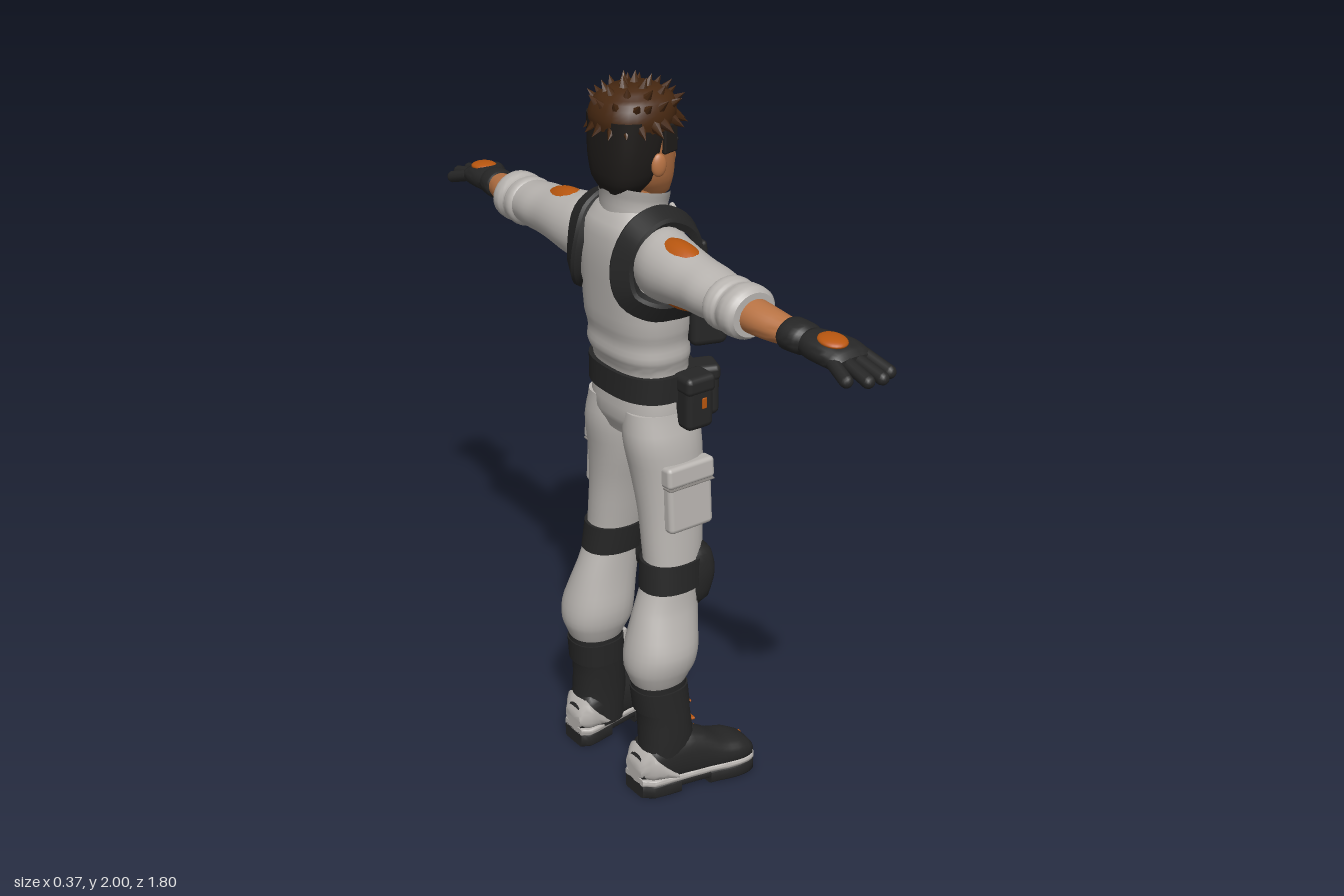
import * as THREE from 'three';
import { toCreasedNormals } from 'three/addons/utils/BufferGeometryUtils.js';
import { RoundedBoxGeometry } from 'three/addons/geometries/RoundedBoxGeometry.js';

const paint = (name, color, extra = {}) => Object.assign(new THREE.MeshStandardMaterial({ color, ...extra }), { name });

// Smooth value between b and c (Catmull-Rom)
const blend = (a, b, c, d, f) =>
  0.5 * (2 * b + (c - a) * f + (2 * a - 5 * b + 4 * c - d) * f * f + (3 * b - a - 3 * c + d) * f * f * f);

function creased(pos, idx, angle) {
  const g = new THREE.BufferGeometry();
  g.setAttribute('position', new THREE.Float32BufferAttribute(pos, 3));
  g.setIndex(idx);
  return toCreasedNormals(g, angle);
}

// Skin over cross-sections [t, a, b, ra, rb]. Axis y: a=x b=z, axis x: a=z b=y, axis z: a=y b=x.
function loft(rows, { axis = 'y', p = 2, n = 28, sub = 3, cap = true } = {}) {
  const src = [...rows].sort((m, k) => m[0] - k[0]), last = src.length - 1, R = [];
  for (let i = 0; i < last; i++) {
    const r0 = src[Math.max(i - 1, 0)], r1 = src[i], r2 = src[i + 1], r3 = src[Math.min(i + 2, last)];
    for (let s = 0; s < sub; s++) {
      const f = s / sub;
      R.push(r1.map((v, k) => (k === 0 ? v + (r2[0] - v) * f : blend(r0[k], v, r2[k], r3[k], f))));
    }
  }
  R.push(src[last]);
  const pos = [], idx = [], place = { y: (t, a, b) => [a, t, b], x: (t, a, b) => [t, b, a], z: (t, a, b) => [b, a, t] }[axis];
  const bend = v => Math.sign(v) * Math.abs(v) ** (2 / p);
  for (const [t, a, b, ra, rb] of R) for (let j = 0; j < n; j++) {
    const q = j / n * Math.PI * 2;
    pos.push(...place(t, a + ra * bend(Math.cos(q)), b + rb * bend(Math.sin(q))));
  }
  for (let i = 0; i < R.length - 1; i++) for (let j = 0; j < n; j++) {
    const a = i * n + j, b = i * n + (j + 1) % n;
    idx.push(a, a + n, b, b, a + n, b + n);
  }
  if (cap) [0, R.length - 1].forEach((i, top) => {
    const c = pos.length / 3;
    pos.push(...place(R[i][0], R[i][1], R[i][2]));
    for (let j = 0; j < n; j++) {
      const a = i * n + j, b = i * n + (j + 1) % n;
      idx.push(...(top ? [c, b, a] : [c, a, b]));
    }
  });
  return creased(pos, idx, 0.8);
}

// Flat band with thickness along a path, facing away from a centre point
function ribbon(points, width, thick, centre) {
  const curve = new THREE.CatmullRomCurve3(points.map(q => new THREE.Vector3(...q)));
  const N = 44, pos = [], idx = [];
  for (let i = 0; i <= N; i++) {
    const q = curve.getPoint(i / N), T = curve.getTangent(i / N);
    const out = q.clone().sub(centre);
    out.addScaledVector(T, -out.dot(T)).normalize();
    const side = T.clone().cross(out);
    for (const [u, v] of [[-1, -1], [1, -1], [1, 0.4], [0.8, 1], [-0.8, 1], [-1, 0.4]])
      pos.push(...q.clone().addScaledVector(side, u * width / 2).addScaledVector(out, v * thick / 2).toArray());
    if (i) for (let j = 0; j < 6; j++) {
      const a = (i - 1) * 6 + j, b = (i - 1) * 6 + (j + 1) % 6;
      idx.push(a, a + 6, b, b, a + 6, b + 6);
    }
  }
  return creased(pos, idx, 0.7);
}

function mirrored(geo) {
  const g = geo.index ? geo.toNonIndexed() : geo, out = new THREE.BufferGeometry();
  for (const key of ['position', 'normal']) {
    const s = g.attributes[key], a = [];
    for (let i = 0; i < s.count; i += 3) for (const k of [i, i + 2, i + 1]) a.push(-s.getX(k), s.getY(k), s.getZ(k));
    out.setAttribute(key, new THREE.Float32BufferAttribute(a, 3));
  }
  return out;
}

const turn = (g, [x, y, z], [rx, ry, rz] = [0, 0, 0]) => g.rotateX(rx).rotateZ(rz).rotateY(ry).translate(x, y, z);
const box = (w, h, d, at, rot, r = 0.015) => turn(new RoundedBoxGeometry(w, h, d, 2, Math.min(r, w / 2.1, h / 2.1, d / 2.1)), at, rot);
const ball = (w, h, d, at, rot) => turn(new THREE.SphereGeometry(1, 24, 16).scale(w, h, d), at, rot);
const aim = (g, dir) => g.applyQuaternion(new THREE.Quaternion().setFromUnitVectors(new THREE.Vector3(0, 1, 0), dir));
function rod(from, to, r) {
  const a = new THREE.Vector3(...from), d = new THREE.Vector3(...to).sub(a);
  return aim(new THREE.CapsuleGeometry(r, d.length(), 5, 10), d.clone().normalize()).translate(...a.addScaledVector(d, 0.5).toArray());
}

export function createModel() {
  const suit = paint('suit grey', 0xb8b4b0, { side: THREE.DoubleSide }), seam = paint('seam grey', 0x85817d);
  const dark = paint('gear black', 0x262626), orange = paint('patch orange', 0xb8560f), skin = paint('skin', 0xb87344);
  const brown = paint('hair brown', 0x472811), black = paint('dark hair', 0x1f1c1a);
  const body = new THREE.Group();
  const put = (name, mat, geo) => { const m = new THREE.Mesh(geo, mat); m.name = name; body.add(m); };
  const pair = (name, mat, geo) => { put(name + 'Right', mat, mirrored(geo)); put(name + 'Left', mat, geo); };

  // Torso
  put('jacket', suit, loft([[1.05, 0, -.03, .09, .085], [1.1, 0, -.03, .15, .105], [1.2, 0, -.03, .142, .1], [1.25, 0, -.035, .142, .1],
    [1.28, 0, -.04, .153, .108], [1.32, 0, -.042, .15, .104], [1.36, 0, -.044, .158, .11], [1.45, 0, -.05, .162, .11],
    [1.55, 0, -.055, .165, .11], [1.62, 0, -.06, .14, .098], [1.66, 0, -.06, .1, .075], [1.685, 0, -.055, .07, .06]], { p: 2.5, n: 36 }));
  put('zipper', seam, box(.008, .22, .008, [0, 1.47, .062], [-.05, 0, 0], .002));
  const tri = new THREE.Shape([[-.045, .05], [0, -.05], [.045, .05]].map(q => new THREE.Vector2(...q)));
  put('undershirt', dark, turn(new THREE.ExtrudeGeometry(tri, { depth: .009, bevelEnabled: false }), [0, 1.605, .04], [-.42, 0, 0]));
  put('neck', skin, loft([[1.6, 0, -.045, .05, .05], [1.72, 0, -.045, .045, .05]], { sub: 1 }));
  const collar = loft([[1.63, 0, -.055, .098, .08], [1.68, 0, -.055, .092, .082], [1.715, 0, -.055, .1, .09]], { cap: false, n: 40 });
  const cp = collar.attributes.position;
  for (let i = 0; i < cp.count; i++) {
    const x = cp.getX(i), z = cp.getZ(i), notch = z > -.02 ? .06 * Math.max(0, 1 - Math.abs(x) / .07) : 0;
    cp.setY(i, cp.getY(i) - (z + .05) * .2 - notch);
  }
  put('collar', suit, toCreasedNormals(collar, 0.8));
  pair('lapel', suit, box(.035, .11, .014, [.05, 1.61, .045], [-.38, .2, -.4], .006));
  put('chestPatch', suit, box(.055, .06, .008, [.065, 1.515, .062], [-.05, .1, 0], .003));
  put('chestPatchMark', orange, box(.045, .02, .008, [.067, 1.53, .064], [-.05, .1, 0], .003));

  // Harness
  pair('harnessStrap', dark, ribbon([[.115, 1.43, .058], [.12, 1.54, .058], [.12, 1.615, .035], [.12, 1.655, -.02], [.118, 1.662, -.07],
    [.115, 1.63, -.13], [.105, 1.55, -.162], [.12, 1.47, -.155], [.155, 1.435, -.105], [.168, 1.43, -.04], [.15, 1.42, .03]],
    .07, .026, new THREE.Vector3(.06, 1.5, -.05)));
  pair('outerChestPouch', dark, box(.085, .16, .1, [.138, 1.385, .07], [0, .3, 0], .02));
  pair('outerChestFlap', dark, box(.092, .05, .107, [.138, 1.445, .07], [0, .3, 0]));
  pair('innerChestPouch', dark, box(.05, .14, .07, [.075, 1.39, .085], [0, .1, 0]));
  pair('innerChestFlap', dark, box(.055, .045, .077, [.075, 1.44, .085], [0, .1, 0], .012));
  pair('shoulderPad', dark, box(.06, .1, .025, [.118, 1.53, .064], [-.1, .1, 0], .01));
  put('chestStrap', dark, box(.13, .045, .016, [0, 1.385, .068], [0, 0, 0], .005));
  put('chestBuckle', seam, box(.045, .02, .008, [0, 1.385, .076], [0, 0, 0], .003));

  // Belt and pouches
  put('belt', dark, loft([[1.165, 0, -.03, .156, .114], [1.235, 0, -.03, .156, .114]], { p: 2.5, n: 36, sub: 1 }));
  put('beltBuckle', dark, box(.075, .055, .02, [0, 1.2, .086], [0, 0, 0], .008));
  pair('hipPouch', dark, box(.07, .145, .085, [.167, 1.162, .015], [0, 0, 0], .018));
  pair('hipPouchFlap', dark, box(.077, .05, .092, [.167, 1.215, .015], [0, 0, 0]));
  pair('frontBeltPouch', dark, box(.075, .14, .07, [.115, 1.162, .085], [0, .35, 0], .018));
  pair('frontBeltFlap', dark, box(.08, .045, .075, [.115, 1.212, .085], [0, .35, 0]));
  pair('pouchTab', orange, box(.006, .03, .014, [.202, 1.165, .022], [0, 0, 0], .002));

  // Arms
  pair('sleeve', suit, loft([[.08, -.065, 1.55, .07, .08], [.15, -.072, 1.555, .085, .092], [.2, -.08, 1.555, .085, .086], [.26, -.085, 1.557, .078, .076],
    [.32, -.085, 1.555, .073, .068], [.37, -.085, 1.553, .074, .064], [.43, -.085, 1.55, .067, .058]], { axis: 'x' }));
  pair('rolledCuff', suit, loft([[.41, -.085, 1.548, .062, .054], [.425, -.085, 1.547, .074, .066], [.45, -.084, 1.546, .074, .066], [.463, -.083, 1.546, .068, .06],
    [.478, -.082, 1.545, .075, .067], [.51, -.081, 1.545, .073, .065], [.522, -.08, 1.544, .062, .055]], { axis: 'x' }));
  pair('shoulderPatch', orange, ball(.12, .085, .06, [.24, 1.557, -.088], [0, 0, -.1]));
  pair('forearm', skin, loft([[.5, -.078, 1.542, .047, .043], [.57, -.072, 1.538, .044, .039], [.645, -.058, 1.532, .034, .032]], { axis: 'x' }));
  pair('gloveCuff', dark, loft([[.622, -.055, 1.531, .042, .036], [.632, -.055, 1.531, .047, .04], [.675, -.05, 1.53, .046, .038], [.69, -.047, 1.529, .038, .033]], { axis: 'x' }));
  pair('palm', dark, loft([[.67, -.046, 1.528, .036, .03], [.71, -.038, 1.525, .05, .033], [.76, -.025, 1.521, .06, .032], [.8, -.02, 1.515, .058, .024],
    [.812, -.02, 1.513, .05, .014]], { axis: 'x', p: 2.4 }));
  [[-.066, .85, -.078], [-.035, .88, -.04], [-.004, .885, -.002], [.026, .868, .034]].forEach(([z, x, tipZ], i) =>
    pair('finger' + (i + 1), dark, rod([.79, 1.515, z], [x, 1.497, tipZ], .0165)));
  pair('thumb', dark, rod([.7, 1.512, .0], [.755, 1.475, .052], .019));
  pair('handPatch', orange, ball(.04, .012, .034, [.75, 1.55, -.035], [0, 0, -.08]));

  // Trousers
  pair('trouserLeg', suit, loft([[1.13, .078, -.03, .075, .1], [1.05, .087, -.028, .086, .108], [.95, .097, -.02, .084, .1], [.85, .112, -.02, .074, .09],
    [.75, .125, -.022, .068, .086], [.66, .135, -.03, .064, .08], [.58, .138, -.048, .067, .09], [.52, .144, -.062, .077, .097], [.45, .15, -.075, .09, .103],
    [.4, .15, -.08, .085, .1], [.36, .15, -.084, .07, .082], [.335, .15, -.084, .06, .072]], { p: 2.2 }));
  pair('cargoPocket', suit, box(.04, .18, .14, [.176, .895, -.01], [0, 0, .07], .014));
  pair('cargoFlap', suit, box(.046, .06, .15, [.175, .967, -.01], [0, 0, .07], .012));
  pair('cargoSeam', seam, box(.047, .005, .144, [.176, .935, -.01], [0, 0, .07], .002));
  pair('kneeStrap', dark, loft([[.625, .136, -.034, .071, .09], [.705, .13, -.026, .073, .09]], { p: 2.2, sub: 1 }));
  pair('kneePad', dark, loft([[.55, .136, .025, .035, .025], [.575, .136, .03, .054, .042], [.65, .134, .038, .067, .05], [.71, .132, .032, .062, .046],
    [.742, .132, .026, .045, .028]], { p: 2.8 }));

  // Boots
  pair('bootShaft', dark, loft([[.05, .16, -.075, .06, .08], [.15, .162, -.068, .064, .078], [.25, .156, -.073, .066, .074], [.3, .152, -.083, .067, .076],
    [.35, .152, -.085, .066, .076]], { p: 2.3 }));
  pair('bootTopBand', dark, loft([[.265, .155, -.078, .071, .079], [.335, .152, -.085, .071, .079]], { p: 2.3, sub: 1 }));
  const foot = rows => rows.map(([z, y, ry, rx]) => [z, y, .152 + (z + .16) * .165, ry, rx]);
  pair('bootFoot', dark, loft(foot([[-.162, .085, .035, .04], [-.13, .1, .065, .06], [-.03, .1, .08, .062], [.03, .09, .068, .064], [.08, .078, .05, .068],
    [.13, .073, .042, .068], [.165, .066, .032, .054], [.179, .06, .02, .036]]), { axis: 'z', p: 2.5 }));
  const soleRows = (y, ry, g) => foot([[-.166, y, ry, .04 + g], [-.14, y, ry, .058 + g], [-.06, y, ry, .06 + g], [.03, y, ry, .062 + g],
    [.1, y, ry, .069 + g], [.145, y, ry, .064 + g], [.17, y, ry, .05 + g], [.182, y, ry, .03 + g]]);
  pair('soleWelt', suit, loft(soleRows(.05, .01, .002), { axis: 'z', p: 8 }));
  pair('soleFront', dark, loft(soleRows(.022, .022, .001).slice(3), { axis: 'z', p: 8 }));
  pair('soleArch', dark, loft(soleRows(.033, .014, -.002), { axis: 'z', p: 8 }));
  pair('soleHeel', dark, loft(soleRows(.022, .022, .001).slice(0, 3), { axis: 'z', p: 8 }));
  pair('heelCounter', suit, loft(foot([[-.168, .085, .025, .036], [-.14, .098, .05, .062], [-.105, .08, .03, .066], [-.07, .06, .01, .067]]), { axis: 'z', p: 2.8 }));
  pair('bootTongue', suit, box(.05, .045, .012, [.14, .318, -.006], [0, 0, 0], .004));
  [[.252, .002], [.195, .011], [.15, .028]].forEach(([y, z], i) =>
    pair('lace' + (i + 1), orange, box(.045, .007, .012, [.162 + i * .006, y, z], [0, .15, .1], .003)));
  pair('toeStripe', orange, box(.05, .008, .012, [.203, .085, .168], [-.4, .17, 0], .003));

  // Head and face
  put('head', skin, loft([[1.672, 0, .004, .022, .03], [1.69, 0, -.006, .045, .052], [1.73, 0, -.025, .07, .076], [1.78, 0, -.04, .084, .092],
    [1.84, 0, -.05, .09, .102], [1.9, 0, -.052, .088, .1], [1.95, 0, -.055, .06, .07]], { p: 2.2, n: 32 }));
  put('nose', skin, loft([[1.755, 0, .053, .016, .018], [1.77, 0, .054, .015, .02], [1.815, 0, .046, .008, .01]], { n: 12 }));
  put('mouth', black, box(.034, .005, .006, [0, 1.727, .05], [0, 0, 0], .002));
  pair('ear', skin, ball(.012, .03, .02, [.094, 1.785, -.045], [0, .2, 0]));
  pair('eye', black, box(.028, .011, .008, [.037, 1.802, .041], [0, .32, 0], .004));
  pair('eyebrow', black, box(.042, .009, .009, [.038, 1.824, .044], [0, .32, .16], .003));

  // Hair: short dark sides, spiky brown top
  put('sideHair', black, loft([[1.7, 0, -.095, .05, .04], [1.74, 0, -.09, .08, .062], [1.8, 0, -.083, .094, .076], [1.9, 0, -.072, .099, .088]], { p: 2.8 }));
  pair('templeHair', black, box(.016, .075, .05, [.084, 1.845, -.005], [0, -.25, 0], .006));
  put('topHair', brown, loft([[1.868, 0, -.062, .098, .098], [1.9, 0, -.058, .103, .106], [1.94, 0, -.052, .09, .096], [1.965, 0, -.05, .055, .06]], { p: 2.3 }));
  let seed = 7;
  const rnd = () => (seed = (seed * 16807) % 2147483647) / 2147483647;
  [[18, .05], [15, .45], [10, .85], [5, 1.25]].forEach(([count, lift], ring) => {
    for (let k = 0; k < count; k++) {
      const q = (k + ring * .5 + rnd() * .4) / count * Math.PI * 2, c = Math.cos(lift);
      const dir = new THREE.Vector3(Math.sin(q) * c, Math.sin(lift), Math.cos(q) * c);
      const lean = dir.clone().add(new THREE.Vector3(.35 * (rnd() - .5), ring ? .25 : -.75, .25)).normalize();
      const spike = new THREE.ConeGeometry(.027, .062 + rnd() * .015, 6).translate(0, .014, 0);
      put('hairSpike', brown, aim(spike, lean).translate(dir.x * .088, 1.89 + dir.y * .062, -.052 + dir.z * .092));
    }
  });

  // The figure looks along +x with its arms along z
  body.name = 'figure';
  body.rotation.y = Math.PI / 2;
  const model = new THREE.Group();
  model.add(body);
  return model;
}
